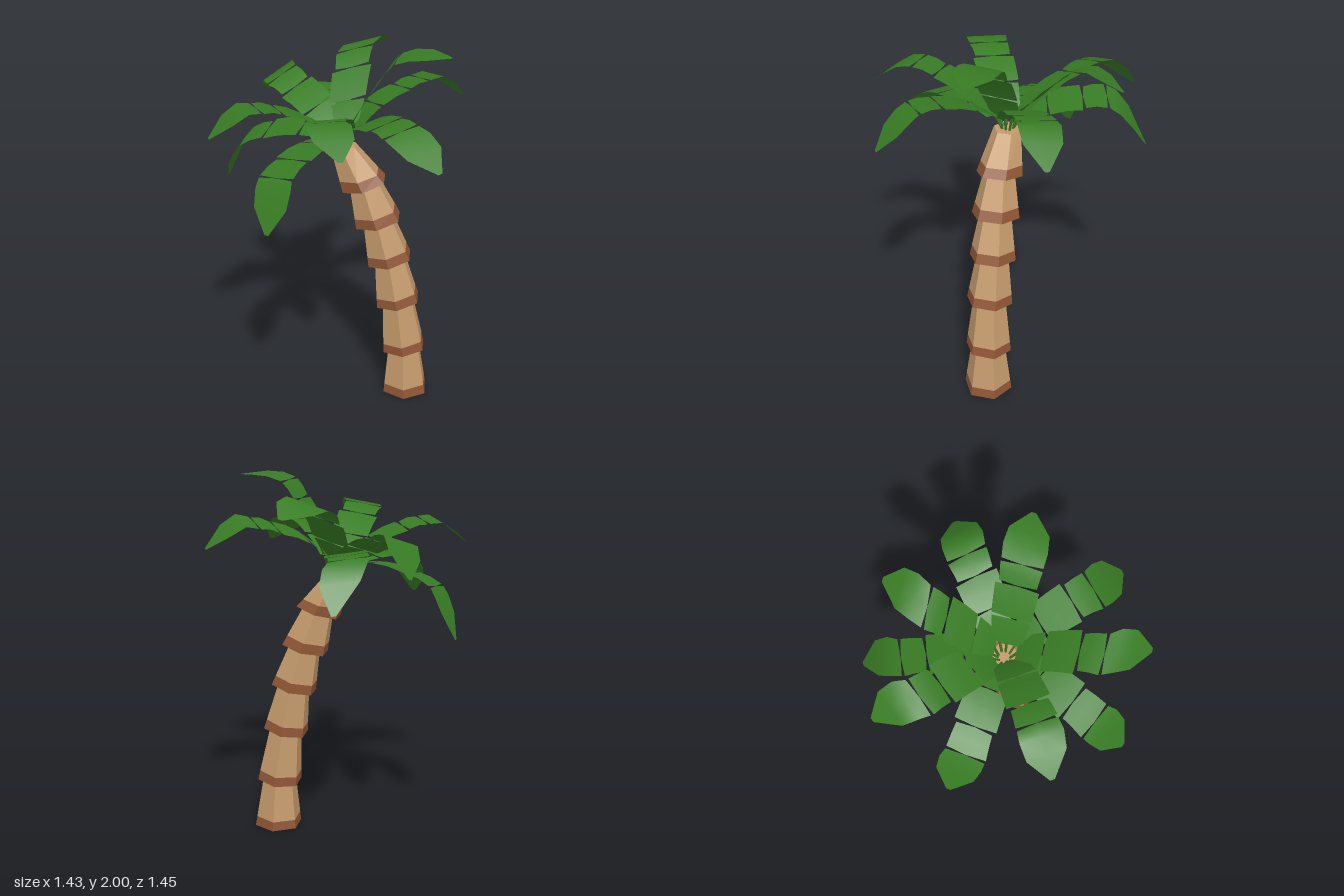
import * as THREE from 'three';

const bark = new THREE.MeshStandardMaterial({ color: 0xc49a6c });
bark.name = 'bark tan';
const ringBrown = new THREE.MeshStandardMaterial({ color: 0x8f5635 });
ringBrown.name = 'ring brown';
const leafGreen = new THREE.MeshStandardMaterial({ color: 0x387c24, side: THREE.DoubleSide });
leafGreen.name = 'leaf green';

// Six-sided frustum between two tilted rings; a ring is { c: centre, r: radius, t: [x tilt, z tilt] }
function frustum(a, b) {
  const geo = new THREE.CylinderGeometry(b.r, a.r, 1, 6, 1, false, Math.PI / 2);
  const p = geo.attributes.position;
  for (let i = 0; i < p.count; i++) {
    const ring = p.getY(i) > 0 ? b : a;
    const x = p.getX(i), z = p.getZ(i);
    p.setXYZ(i, ring.c.x + x, ring.c.y + x * ring.t[0] + z * ring.t[1], ring.c.z + z);
  }
  const flat = geo.toNonIndexed();
  flat.computeVertexNormals();
  return flat;
}

function mixRing(a, b, k) {
  return {
    c: a.c.clone().lerp(b.c, k),
    r: a.r + (b.r - a.r) * k,
    t: [0, 1].map((i) => a.t[i] + (b.t[i] - a.t[i]) * k),
  };
}

// Leaning trunk: each segment flares downward over the one below it
function makeTrunk() {
  const trunk = new THREE.Group();
  trunk.name = 'trunk';
  // x, y, z of the segment foot, foot radius, head radius, tilts
  const rows = [
    [0.303, 0, 0.2, 0.135, 0.095, 0, 0],
    [0.293, 0.272, 0.193, 0.127, 0.09, 0.08, 0.08],
    [0.258, 0.57, 0.175, 0.127, 0.088, 0.16, 0.1],
    [0.217, 0.825, 0.145, 0.127, 0.086, 0.2, 0.1],
    [0.16, 1.055, 0.112, 0.13, 0.083, 0.21, 0.11],
    [0.094, 1.267, 0.072, 0.125, 0.073, 0.26, 0.12],
    [0.002, 1.48, 0.003, 0, 0, 0, 0],
  ];
  for (let i = 0; i < 6; i++) {
    const [x, y, z, r0, r1, tx, tz] = rows[i];
    const n = rows[i + 1];
    const foot = { c: new THREE.Vector3(x, y, z), r: r0, t: [tx, tz] };
    const lift = i < 5 ? 0.012 : 0;
    const head = { c: new THREE.Vector3(n[0], n[1] + lift, n[2]), r: r1, t: [n[5], n[6]] };
    const seam = mixRing(foot, head, 0.05 / (n[1] - y));
    const ring = new THREE.Mesh(frustum(foot, seam), [ringBrown, bark, bark]);
    ring.name = 'trunkRing';
    const body = new THREE.Mesh(frustum(seam, head), bark);
    body.name = 'trunkSegment';
    trunk.add(ring, body);
  }
  return trunk;
}

// Strip through cross-sections of three points: left, middle, right
function ribbon(sections) {
  const pos = [], index = [];
  sections.forEach((row, i) => {
    row.forEach((p) => pos.push(p.x, p.y, p.z));
    if (!i) return;
    for (let j = 0; j < 2; j++) {
      const a = 3 * (i - 1) + j;
      index.push(a, a + 1, a + 3, a + 1, a + 4, a + 3);
    }
  });
  const geo = new THREE.BufferGeometry();
  geo.setAttribute('position', new THREE.Float32BufferAttribute(pos, 3));
  geo.setIndex(index);
  geo.computeVertexNormals();
  return geo;
}

// Frond: stem, three leaflet plates and a pointed, drooping end plate
function makeFrond({ base, tip, y, roll }) {
  const frond = new THREE.Group();
  frond.name = 'frond';
  const spine = [0.12, 0.395, 0.755, 1].map((s, i) => new THREE.Vector3(base[0] * s, y[i], base[1] * s));
  [0.28, 0.6, 1].forEach((s, i) => spine.push(new THREE.Vector3(
    base[0] + (tip[0] - base[0]) * s, y[4 + i], base[1] + (tip[1] - base[1]) * s)));

  // Sideways direction, rolled about the heading
  const len = Math.hypot(base[0], base[1]);
  const side = new THREE.Vector3(-base[1] / len, 0, base[0] / len)
    .multiplyScalar(Math.cos(roll)).add(new THREE.Vector3(0, Math.sin(roll), 0));
  // The middle point may sit ahead of or behind the two edge points
  const section = (edge, w, mid = edge) => [
    edge.clone().addScaledVector(side, -w), mid, edge.clone().addScaledVector(side, w)];
  const addPlate = (name, sections) => {
    const mesh = new THREE.Mesh(ribbon(sections), leafGreen);
    mesh.name = name;
    frond.add(mesh);
  };

  // Leaflets meet at the spine and leave narrow wedges at the edges
  [[0.08, 0.098], [0.102, 0.11], [0.094, 0.104]].forEach(([w0, w1], i) => {
    const a = spine[i], b = spine[i + 1];
    const cut = 0.009 / a.distanceTo(b);
    const at = (k) => a.clone().lerp(b, k);
    const crest = at(0.5);
    crest.y += 0.008;
    addPlate('leaflet', [
      section(at(cut), w0, at(0.01)), section(crest, (w0 + w1) / 2), section(at(1 - cut), w1, at(0.99)),
    ]);
  });
  addPlate('leafTip', [
    section(spine[3].clone().lerp(spine[4], 0.1), 0.103, spine[3]),
    section(spine[4], 0.11), section(spine[5], 0.1), section(spine[6], 0.012),
  ]);

  const root = new THREE.Vector3(base[0] / len * 0.025, 1.465, base[1] / len * 0.025);
  const stem = new THREE.Mesh(
    new THREE.TubeGeometry(new THREE.LineCurve3(root, spine[0].clone().lerp(spine[1], 0.06)), 1, 0.007, 4), leafGreen);
  stem.name = 'stem';
  frond.add(stem);
  return frond;
}

export function createModel() {
  const model = new THREE.Group();
  model.name = 'palmTree';
  model.add(makeTrunk());

  // base and tip are [x, z] of the end plate; y lists heights from root to tip
  const fronds = [
    { base: [0.46, -0.015], tip: [0.715, 0.01], y: [1.56, 1.68, 1.745, 1.775, 1.79, 1.74, 1.65], roll: 0.16 },
    { base: [-0.465, -0.02], tip: [-0.715, -0.04], y: [1.55, 1.65, 1.72, 1.745, 1.75, 1.7, 1.615], roll: -0.06 },
    { base: [-0.14, -0.485], tip: [-0.11, -0.73], y: [1.55, 1.64, 1.7, 1.735, 1.74, 1.68, 1.585], roll: 0.34 },
    { base: [0.115, -0.495], tip: [0.25, -0.67], y: [1.55, 1.62, 1.65, 1.655, 1.63, 1.56, 1.42], roll: -0.12 },
    { base: [0.215, -0.305], tip: [0.445, -0.45], y: [1.56, 1.67, 1.81, 1.885, 1.91, 1.895, 1.855], roll: 0.3 },
    { base: [0.22, 0.178], tip: [0.445, 0.33], y: [1.56, 1.71, 1.87, 1.965, 1.99, 1.995, 1.985], roll: 0 },
    { base: [0.075, 0.505], tip: [0.18, 0.72], y: [1.56, 1.66, 1.715, 1.715, 1.69, 1.64, 1.56], roll: -0.15 },
    { base: [-0.28, 0.4], tip: [-0.31, 0.65], y: [1.56, 1.66, 1.75, 1.785, 1.79, 1.75, 1.68], roll: -0.14 },
    { base: [-0.49, 0.285], tip: [-0.595, 0.415], y: [1.53, 1.56, 1.54, 1.49, 1.45, 1.37, 1.26], roll: -0.15 },
    { base: [-0.405, -0.365], tip: [-0.465, -0.49], y: [1.53, 1.56, 1.52, 1.46, 1.41, 1.33, 1.2], roll: 0.14 },
  ];
  const crown = new THREE.Group();
  crown.name = 'crown';
  fronds.forEach((f) => crown.add(makeFrond(f)));
  model.add(crown);
  return model;
}
